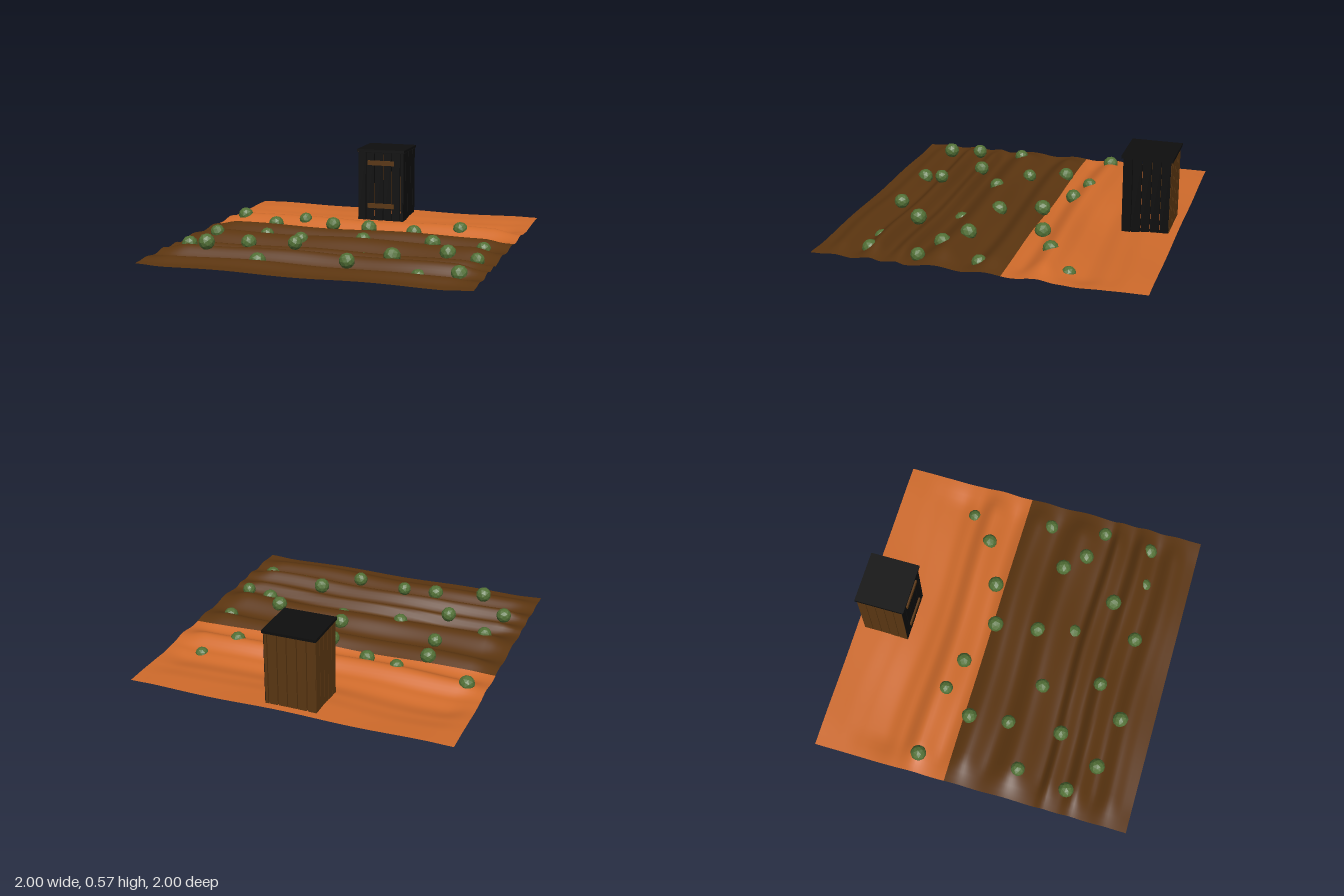
import * as THREE from 'three';

const mat = (name, color, side = THREE.FrontSide) => {
  const m = new THREE.MeshStandardMaterial({ color, side });
  m.name = name;
  return m;
};

// Furrow profile across the field: [z, height]
const PROFILE = [
  [-1, 0.095], [-0.85, 0.093], [-0.72, 0.08], [-0.58, 0.058], [-0.48, 0.08], [-0.36, 0.142],
  [-0.22, 0.08], [-0.07, 0.138], [0.06, 0.078], [0.22, 0.148], [0.4, 0.068], [0.46, 0.125],
  [0.55, 0.085], [0.63, 0.145], [0.74, 0.075], [0.85, 0.122], [0.95, 0.092], [1, 0.088],
];

function profileHeight(z) {
  const t = THREE.MathUtils.clamp(z, -1, 0.9999);
  const i = Math.max(1, PROFILE.findIndex((p) => p[0] > t));
  const [z0, y0] = PROFILE[i - 1], [z1, y1] = PROFILE[i];
  return y0 + (y1 - y0) * THREE.MathUtils.smoothstep(t, z0, z1);
}

// Furrows wander slightly along x and flatten out at the sides
function groundHeight(x, z) {
  const wander = 0.012 * Math.sin(x * 4 + z * 3) + (z < -0.45 ? 0.04 * (z + 0.45) * Math.cos(x * 4) : 0);
  const fade = 1 - 0.75 * THREE.MathUtils.smoothstep(Math.abs(x), 0.82, 1);
  return 0.095 + (profileHeight(z + wander) - 0.095) * fade + 0.004 * Math.sin(x * 7 + z * 5) * fade;
}

function groundStrip(z0, z1, rows, material, name) {
  const geo = new THREE.PlaneGeometry(2, z1 - z0, 50, rows);
  geo.rotateX(-Math.PI / 2).translate(0, 0, (z0 + z1) / 2);
  const p = geo.attributes.position;
  for (let i = 0; i < p.count; i++) p.setY(i, groundHeight(p.getX(i), p.getZ(i)));
  geo.computeVertexNormals();
  const mesh = new THREE.Mesh(geo, material);
  mesh.name = name;
  return mesh;
}

function box(name, material, x0, x1, y0, y1, z0, z1) {
  const mesh = new THREE.Mesh(new THREE.BoxGeometry(x1 - x0, y1 - y0, z1 - z0), material);
  mesh.position.set((x0 + x1) / 2, (y0 + y1) / 2, (z0 + z1) / 2);
  mesh.name = name;
  return mesh;
}

// Bush centres: x, y, z
const BUSHES = [
  [-0.88, 0.125, -0.36], [-0.43, 0.13, -0.32], [-0.22, 0.12, -0.265], [0.34, 0.11, -0.22],
  [0.615, 0.125, -0.345], [0.79, 0.065, -0.5], [-0.565, 0.13, -0.125], [0.065, 0.14, -0.14],
  [0.845, 0.09, 0.015], [-0.53, 0.11, 0.12], [0.11, 0.12, 0.13], [0.565, 0.145, 0.175],
  [-0.81, 0.14, 0.26], [-0.25, 0.13, 0.26], [0.69, 0.12, 0.295], [0.185, 0.05, 0.35],
  [0.885, 0.11, 0.375], [-0.515, 0.135, 0.455], [0.42, 0.14, 0.55], [-0.85, 0.13, 0.58],
  [-0.155, 0.19, 0.61], [-0.67, 0.185, 0.725], [-0.32, 0.11, 0.79], [0.21, 0.14, 0.745],
  [0.62, 0.07, 0.71], [0.85, 0.1, 0.685],
];

export function createModel() {
  const model = new THREE.Group();
  const clay = mat('orange clay', 0xd06b2b, THREE.DoubleSide);
  const soil = mat('brown soil', 0x5b3510, THREE.DoubleSide);
  const wood = mat('brown wood', 0x5b3712);
  const tar = mat('black boards', 0x0e0e0e);
  const leaf = mat('green leaves', 0x527036);
  leaf.flatShading = true;

  // Ground
  model.add(groundStrip(-1, -0.16, 42, clay, 'clayGround'));
  model.add(groundStrip(-0.16, 1, 80, soil, 'ploughedField'));

  // Bushes
  const bushes = new THREE.Group();
  bushes.name = 'bushes';
  BUSHES.forEach(([x, y, z], i) => {
    const bush = new THREE.Mesh(new THREE.IcosahedronGeometry(1, 1), leaf);
    bush.name = 'bush';
    bush.scale.setScalar(0.043 + 0.008 * Math.abs(Math.sin(i * 2.3 + 1)));
    if (i === 15) bush.scale.setScalar(0.05);
    bush.position.set(x, y, z);
    bush.rotation.y = i * 1.7;
    bushes.add(bush);
  });
  model.add(bushes);

  // Shed of upright planks, open underneath
  const shed = new THREE.Group();
  shed.name = 'shed';
  const y0 = 0.08, y1 = 0.545, t = 0.014, gap = 0.003;
  const xs = [-0.175, -0.118, -0.058, 0.004, 0.062, 0.122, 0.145];
  for (let i = 0; i < xs.length - 1; i++) {
    const a = xs[i] + gap, b = xs[i + 1] - gap;
    shed.add(box('frontPlank', tar, a, b, y0, y1, -0.66 - t, -0.66));
    shed.add(box('backPlank', wood, a, b, y0, y1, -0.95, -0.95 + t));
  }
  const n = 5, step = 0.29 / n;
  for (let i = 0; i < n; i++) {
    const a = -0.95 + i * step + gap * 0.7, b = -0.95 + (i + 1) * step - gap * 0.7;
    shed.add(box('leftPlank', tar, 0.145 - t, 0.145, y0, y1, a, b));
    shed.add(box('rightPlank', wood, -0.175, -0.175 + t, y0, y1, a, b));
  }
  // Inner frame at the foot and top of the walls
  for (const y of [y0, 0.535]) {
    shed.add(box('frontRail', tar, -0.16, 0.13, y, y + 0.02, -0.69, -0.675));
    shed.add(box('backRail', tar, -0.16, 0.13, y, y + 0.02, -0.935, -0.92));
    shed.add(box('leftRail', tar, 0.115, 0.13, y, y + 0.02, -0.935, -0.675));
    shed.add(box('rightRail', tar, -0.16, -0.145, y, y + 0.02, -0.935, -0.675));
  }
  // Roof and door battens
  shed.add(box('roof', tar, -0.18, 0.15, 0.55, 0.567, -0.96, -0.648));
  for (const y of [0.46, 0.165]) {
    shed.add(box('doorBatten', wood, -0.105, 0.08, y, y + 0.032, -0.66, -0.65));
  }
  model.add(shed);
  return model;
}
